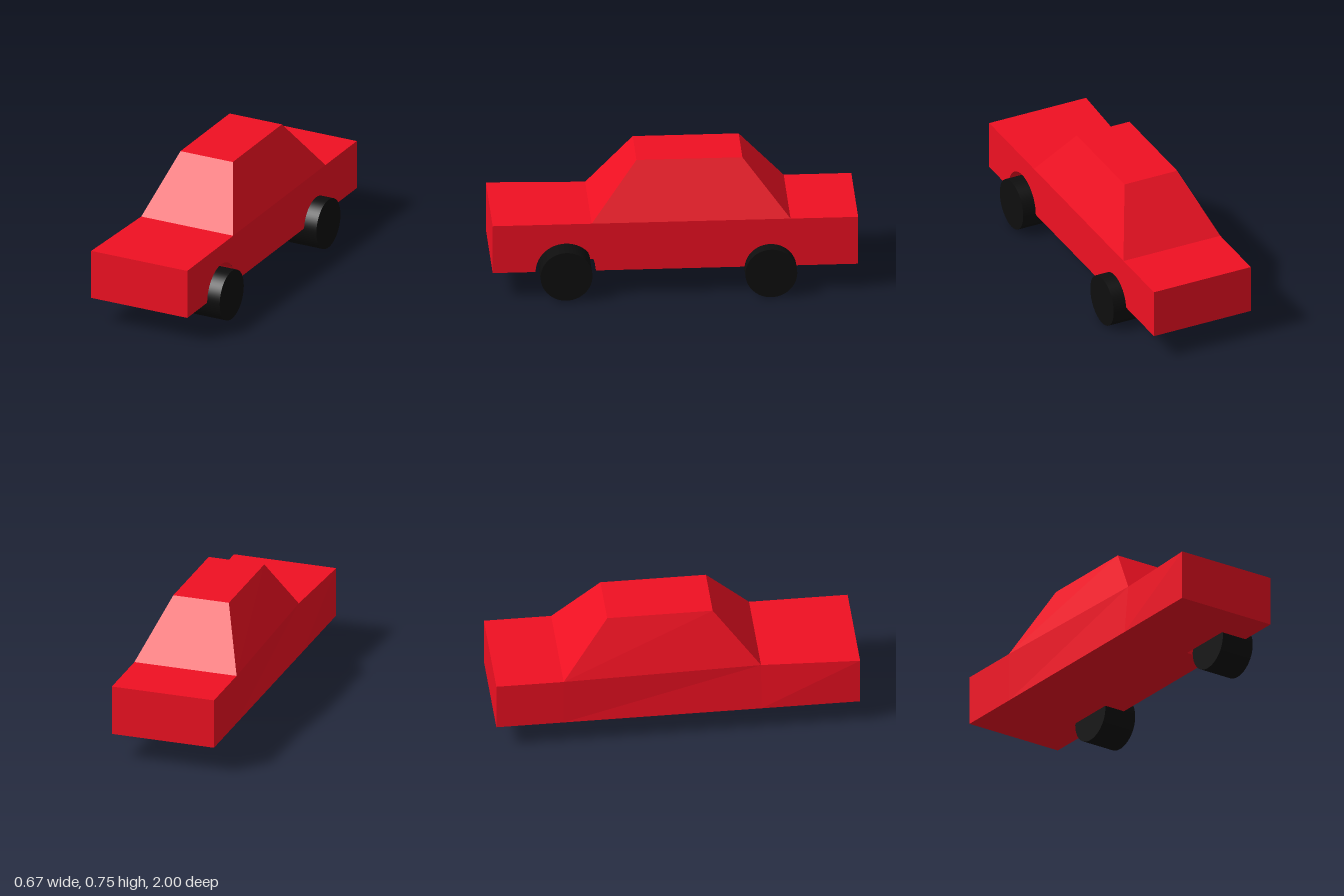
import * as THREE from 'three';

const L = -0.335, R = 0.257;            // body sides
const BOTTOM = 0.153, BELT = 0.433, ROOF = 0.747;
const ARCH_Z = 0.6, ARCH_R = 0.165, ARCH_X = 0.1;   // front wheel well
const STEPS = 32;

const red = new THREE.MeshStandardMaterial({ color: 0xf01022, flatShading: true });
const black = new THREE.MeshStandardMaterial({ color: 0x0e0e0e });

// Flat four-cornered panels, corners counter-clockwise seen from outside
function panels(name, quads) {
  const pos = [];
  for (const [a, b, c, d] of quads) pos.push(...a, ...b, ...c, ...a, ...c, ...d);
  const geo = new THREE.BufferGeometry();
  geo.setAttribute('position', new THREE.Float32BufferAttribute(pos, 3));
  geo.computeVertexNormals();
  return named(name, geo, red);
}

function named(name, geo, mat) {
  const mesh = new THREE.Mesh(geo, mat);
  mesh.name = name;
  return mesh;
}

function createBody() {
  const body = new THREE.Group();
  body.name = 'body';

  // Beltline stations front to back: [z, left x, right x]
  const stations = [[1, L, R], [0.458, -0.31, R], [-0.63, L, R], [-1, L, R]];
  const left = stations.map(([z, l]) => [l, BELT, z]);
  const right = stations.map(([z, , r]) => [r, BELT, z]);
  const sill = stations.map(([z]) => [L, BOTTOM, z]);

  body.add(panels('hood', [[left[0], right[0], right[1], left[1]]]));
  body.add(panels('trunk', [[left[2], right[2], right[3], left[3]]]));
  body.add(panels('frontPanel', [[sill[0], [R, BOTTOM, 1], right[0], left[0]]]));
  body.add(panels('rearPanel', [[[R, BOTTOM, -1], sill[3], left[3], right[3]]]));
  body.add(panels('leftSide', [0, 1, 2].map(i => [sill[i + 1], sill[i], left[i], left[i + 1]])));

  // Right side with the front arch cut out
  const side = new THREE.Shape();
  side.moveTo(-1, BOTTOM);
  side.lineTo(-ARCH_Z - ARCH_R, BOTTOM);
  side.absarc(-ARCH_Z, BOTTOM, ARCH_R, Math.PI, 0, true);
  side.lineTo(1, BOTTOM);
  side.lineTo(1, BELT);
  side.lineTo(-1, BELT);
  const sideMesh = named('rightSide', new THREE.ShapeGeometry(side, STEPS).rotateY(Math.PI / 2), red);
  sideMesh.position.x = R;
  body.add(sideMesh);

  // Underside, notched where the wheel well opens
  const z0 = ARCH_Z - ARCH_R, z1 = ARCH_Z + ARCH_R;
  const floor = new THREE.Shape([
    [L, -1], [R, -1], [R, z0], [ARCH_X, z0], [ARCH_X, z1], [R, z1], [R, 1], [L, 1],
  ].map(p => new THREE.Vector2(...p)));
  const floorMesh = named('underside', new THREE.ShapeGeometry(floor).rotateX(Math.PI / 2), red);
  floorMesh.position.y = BOTTOM;
  body.add(floorMesh);

  // Wheel well: curved lining and inner wall
  const arc = (i, x) => {
    const a = Math.PI * i / STEPS;
    return [x, BOTTOM + ARCH_R * Math.sin(a), ARCH_Z + ARCH_R * Math.cos(a)];
  };
  const lining = [];
  for (let i = 0; i < STEPS; i++) {
    lining.push([arc(i, ARCH_X), arc(i + 1, ARCH_X), arc(i + 1, R), arc(i, R)]);
  }
  body.add(panels('wheelWellLining', lining));
  const wall = named('wheelWellWall',
    new THREE.CircleGeometry(ARCH_R, STEPS, 0, Math.PI).rotateY(Math.PI / 2), red);
  wall.position.set(ARCH_X, BOTTOM, ARCH_Z);
  body.add(wall);

  // Cabin: base corners on the beltline, tapering to the roof
  const base = [left[1], right[1], right[2], left[2]];
  const roof = [[-0.2, ROOF, 0.205], [0.122, ROOF, 0.205], [0.122, ROOF, -0.375], [-0.2, ROOF, -0.375]];
  ['windshield', 'cabinRight', 'rearWindow', 'cabinLeft'].forEach((name, i) => {
    const j = (i + 1) % 4;
    body.add(panels(name, [[base[i], base[j], roof[j], roof[i]]]));
  });
  body.add(panels('roof', [roof]));
  return body;
}

export function createModel() {
  const model = new THREE.Group();
  model.name = 'car';
  model.add(createBody());

  // Wheels sit on the left side only
  const wheelGeo = new THREE.CylinderGeometry(0.142, 0.142, 0.2, 64).rotateZ(Math.PI / 2);
  const wheels = [['frontWheel', 0.222, 0.148, 0.6], ['rearWheel', 0.233, 0.142, -0.52]];
  for (const [name, x, y, z] of wheels) {
    const wheel = named(name, wheelGeo, black);
    wheel.position.set(x, y, z);
    model.add(wheel);
  }
  return model;
}
